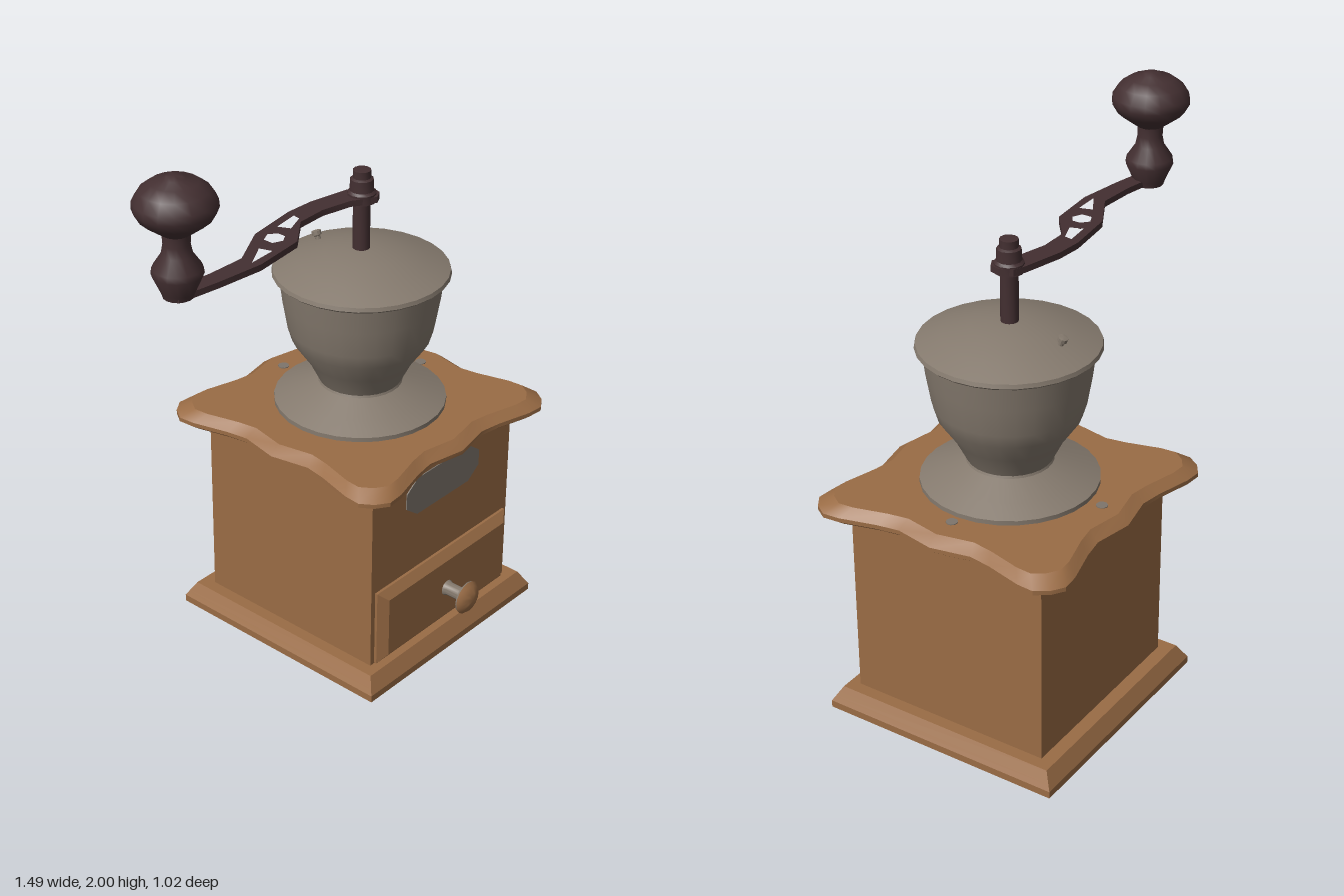
import * as THREE from 'three';
import { toCreasedNormals } from 'three/addons/utils/BufferGeometryUtils.js';

const CX = 0.26, CZ = -0.025;

const material = (name, color) => {
  const m = new THREE.MeshStandardMaterial({ color });
  m.name = name;
  return m;
};

// Stacks scaled copies of an [x, z] outline along y; levels are [y, scaleX, scaleZ]
function stack(outline, levels) {
  const n = outline.length, pos = [];
  const pt = (l, i) => {
    const [y, sx, sz] = levels[l];
    return [outline[i % n][0] * sx, y, outline[i % n][1] * sz];
  };
  const last = levels.length - 1;
  for (let i = 0; i < n; i++) {
    for (let l = 0; l < last; l++) {
      const a = pt(l, i), b = pt(l, i + 1), c = pt(l + 1, i), d = pt(l + 1, i + 1);
      pos.push(...a, ...c, ...b, ...b, ...c, ...d);
    }
    pos.push(0, levels[0][0], 0, ...pt(0, i), ...pt(0, i + 1));
    pos.push(0, levels[last][0], 0, ...pt(last, i + 1), ...pt(last, i));
  }
  const g = new THREE.BufferGeometry();
  g.setAttribute('position', new THREE.Float32BufferAttribute(pos, 3));
  return toCreasedNormals(g, 0.45);
}

// Turned part from [radius, y] points, listed bottom to top
const turned = (points, sides, crease = 0.6) =>
  toCreasedNormals(new THREE.LatheGeometry(points.map(p => new THREE.Vector2(...p)), sides), crease);

const rect = (w, d) => [[w, -d], [w, d], [-w, d], [-w, -d]];

export function createModel() {
  const wood = material('wood', 0x9a6c45);
  const metal = material('pewter', 0x857a6e);
  const plate = material('nameplate grey', 0x7d756c);
  const iron = material('dark iron', 0x432f31);

  const model = new THREE.Group();
  model.name = 'coffeeMill';
  const add = (name, geometry, mat, x = CX, y = 0, z = CZ, parent = model) => {
    const mesh = new THREE.Mesh(geometry, mat);
    mesh.name = name;
    mesh.position.set(x, y, z);
    parent.add(mesh);
    return mesh;
  };

  // Wooden box on a moulded base
  add('base', stack(rect(0.45, 0.45), [[0, 1, 1], [0.026, 1, 1], [0.045, 0.975, 0.975], [0.08, 0.93, 0.93]]), wood);
  add('body', new THREE.BoxGeometry(0.75, 0.73, 0.75), wood, CX, 0.438, -0.02);

  // Scalloped top board: one side turned four times
  const half = [[0.485, -0.41], [0.48, -0.35], [0.445, -0.22], [0.432, -0.14]];
  const side = [[0.455, -0.455], ...half, [0.46, 0], ...half.map(([x, z]) => [x, -z]).reverse()];
  const scallop = [];
  for (let k = 0; k < 4; k++) {
    for (let [x, z] of side) {
      for (let r = 0; r < k; r++) [x, z] = [-z, x];
      scallop.push([x, z]);
    }
  }
  add('topBoard', stack(scallop, [[0.795, 0.97, 0.97], [0.805, 1, 1], [0.82, 1, 1], [0.85, 0.915, 0.915]]), wood);

  // Screw heads set in the top board
  const dot = new THREE.CylinderGeometry(0.02, 0.02, 0.004, 10);
  add('backScrew', dot, plate, 0.245, 0.851, -0.375);
  add('sideScrew', dot, plate, 0.595, 0.851, -0.025);

  // Nameplate
  const tag = [[0.197, 0.03], [0.14, 0.073], [-0.14, 0.073], [-0.197, 0.03],
    [-0.197, -0.03], [-0.14, -0.073], [0.14, -0.073], [0.197, -0.03]];
  const tagShape = new THREE.Shape(tag.map(p => new THREE.Vector2(...p)));
  add('nameplate', new THREE.ExtrudeGeometry(tagShape, { depth: 0.006, bevelEnabled: false }),
    plate, 0.258, 0.672, 0.353);

  // Bevelled drawer with a pull knob
  const drawer = new THREE.Group();
  drawer.name = 'drawer';
  drawer.position.set(0.26, 0.23, 0.353);
  drawer.rotation.x = Math.PI / 2;
  model.add(drawer);
  add('drawerFront', stack(rect(0.355, 0.147), [[0, 1, 1], [0.012, 1, 1], [0.037, 0.9, 0.78]]), wood, 0, 0, 0, drawer);
  add('knobStem', turned([[0.032, 0.03], [0.024, 0.05], [0.024, 0.108], [0.035, 0.115], [0.06, 0.122], [0.062, 0.128]], 16),
    metal, 0, 0, 0, drawer);
  add('knobCap', turned([[0.062, 0.128], [0.05, 0.14], [0.025, 0.152], [0, 0.156]], 16, 0.9), wood, 0, 0, 0, drawer);

  // Metal hopper, lid and lid peg
  add('hopper', turned([[0, 0.85], [0.302, 0.85], [0.302, 0.866], [0.24, 0.893], [0.148, 0.932], [0.145, 0.94],
    [0.185, 1.02], [0.24, 1.1], [0.255, 1.15], [0.272, 1.25], [0.284, 1.345], [0, 1.345]], 28), metal);
  add('lid', turned([[0, 1.342], [0.298, 1.342], [0.307, 1.35], [0.303, 1.364], [0.22, 1.397],
    [0.13, 1.424], [0.06, 1.435], [0, 1.437]], 28), metal);
  const peg = add('lidPeg', turned([[0, -0.03], [0.01, -0.03], [0.01, 0.012], [0.017, 0.016], [0.017, 0.03], [0, 0.034]], 10),
    metal, CX, 1.403, -0.222);
  peg.rotation.x = -0.35;

  // Crank shaft and nut
  add('shaft', turned([[0.03, 1.42], [0.03, 1.605], [0.05, 1.61], [0.05, 1.642], [0.042, 1.65], [0.04, 1.69],
    [0.031, 1.695], [0.031, 1.722], [0, 1.726]], 12), iron, CX, 0, -0.028);

  // Pierced crank arm, drawn as [x, z] from above
  const V = ([x, z]) => new THREE.Vector2(x - CX, -z);
  const arm = new THREE.Shape([[-0.65, -0.04], [-0.48, -0.015], [-0.34, -0.01], [-0.19, -0.093], [0, -0.12], [0.1, -0.115],
    [0.25, -0.083], [0.295, -0.068], [0.315, -0.025], [0.305, 0.012], [0.272, 0.03], [0.235, 0.012], [0.19, -0.018],
    [0.08, -0.043], [-0.03, -0.04], [-0.14, 0.045], [-0.33, 0.065], [-0.5, 0.045], [-0.65, 0.02]].map(V));
  const holes = [
    [[-0.34, 0.035], [-0.255, -0.015], [-0.24, 0.03]],
    [[-0.2, -0.045], [-0.165, -0.062], [-0.138, -0.04], [-0.138, -0.01], [-0.165, 0.008], [-0.2, -0.008]],
    [[-0.105, -0.075], [-0.01, -0.088], [-0.015, -0.06], [-0.085, -0.032]],
  ];
  for (const h of holes) arm.holes.push(new THREE.Path(h.map(V)));
  const armGeometry = new THREE.ExtrudeGeometry(arm, { depth: 0.022, bevelEnabled: false });
  armGeometry.rotateX(-Math.PI / 2);
  add('crankArm', toCreasedNormals(armGeometry, 0.5), iron, CX, 1.614, 0).rotation.z = 0.018;

  // Turned hand grip
  add('handGrip', turned([[0, 1.596], [0.05, 1.596], [0.056, 1.615], [0.083, 1.675], [0.08, 1.695], [0.05, 1.74],
    [0.043, 1.775], [0.045, 1.81], [0.075, 1.832], [0.115, 1.862], [0.134, 1.895], [0.132, 1.92],
    [0.11, 1.955], [0.075, 1.98], [0.035, 1.992], [0.025, 2], [0, 2]], 16, 0.75), iron, -0.612, 0, -0.02);

  return model;
}
